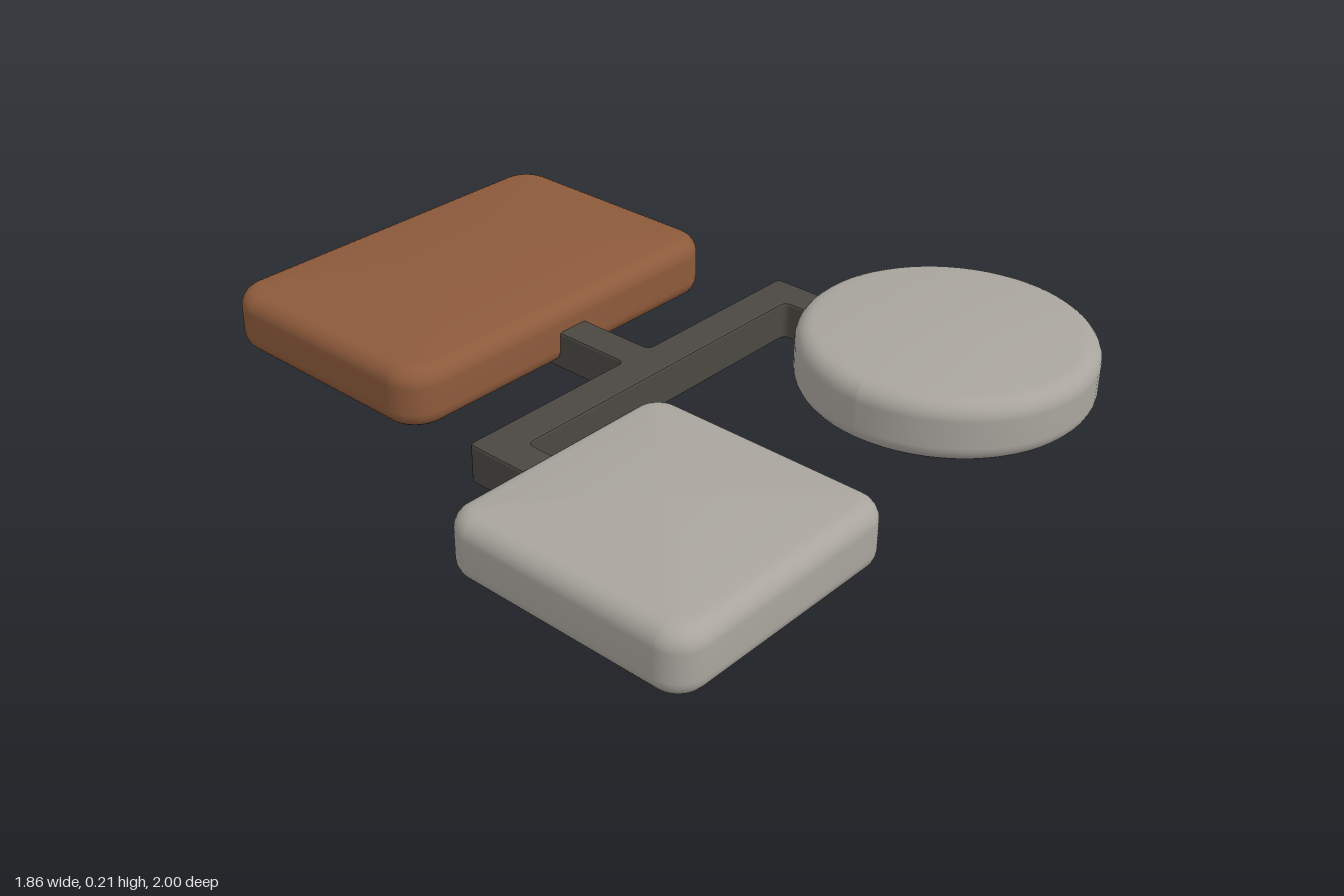
import * as THREE from 'three';

const brown = new THREE.MeshStandardMaterial({ name: 'brown', color: 0x8d5a3b });
const stone = new THREE.MeshStandardMaterial({ name: 'stone grey', color: 0xa9a59e });
const dark = new THREE.MeshStandardMaterial({ name: 'dark grey', color: 0x4b4842 });

// Cushion-like slab: rounded-rectangle rings with soft edges and a domed top.
// A corner radius equal to the half size gives a round slab.
function slab(name, material, [x, z], [hw, hd], corner, bottom, top) {
  const soft = 0.05, dome = 0.02, steps = 16, edge = top - dome;
  const rings = []; // [inset, y, scale]
  for (const s of [0, 0.5, 0.97]) rings.push([soft, bottom, s]);
  for (let i = 0; i <= 6; i++) {
    const a = (i / 6) * Math.PI / 2;
    rings.push([soft * (1 - Math.sin(a)), bottom + soft * (1 - Math.cos(a)), 1]);
  }
  for (let i = 0; i <= 6; i++) {
    const a = (i / 6) * Math.PI / 2;
    rings.push([soft * (1 - Math.cos(a)), edge - soft * (1 - Math.sin(a)), 1]);
  }
  for (const s of [0.95, 0.85, 0.7, 0.5, 0.25, 0]) rings.push([soft, edge + dome * (1 - s * s), s]);

  const positions = [], index = [], n = 4 * (steps + 1);
  for (const [inset, y, s] of rings) {
    for (let q = 0; q < 4; q++) {
      const sx = q === 0 || q === 3 ? 1 : -1, sz = q < 2 ? 1 : -1;
      for (let k = 0; k <= steps; k++) {
        const a = (q + k / steps) * Math.PI / 2, r = corner - inset;
        positions.push(s * (sx * (hw - corner) + r * Math.cos(a)), y,
          s * (sz * (hd - corner) + r * Math.sin(a)));
      }
    }
  }
  for (let i = 0; i < rings.length - 1; i++) {
    for (let j = 0; j < n; j++) {
      const a = i * n + j, b = i * n + (j + 1) % n;
      index.push(a, a + n, b, b, a + n, b + n);
    }
  }
  const geometry = new THREE.BufferGeometry();
  geometry.setAttribute('position', new THREE.Float32BufferAttribute(positions, 3));
  geometry.setIndex(index);
  geometry.computeVertexNormals();
  const mesh = new THREE.Mesh(geometry, material);
  mesh.name = name;
  mesh.position.set(x, 0, z);
  return mesh;
}

// Forked bar joining the three slabs, every corner slightly rounded
function connector() {
  const outline = [ // x, z, corner radius
    [-0.62, 0.31, 0.01], [-0.52, 0.31, 0.01], [-0.52, 0.1, 0.02], [0.48, 0.1, 0.02],
    [0.48, 0.31, 0.01], [0.58, 0.31, 0.01], [0.58, -0.005, 0.015], [0.03, -0.005, 0.02],
    [0.03, -0.28, 0.01], [-0.07, -0.28, 0.01], [-0.07, -0.005, 0.02], [-0.62, -0.005, 0.015],
  ].map(([x, z, r]) => ({ p: new THREE.Vector2(x, -z), r }));
  const shape = new THREE.Shape();
  outline.forEach(({ p, r }, i) => {
    const toward = (o) => o.p.clone().sub(p).setLength(r).add(p);
    const a = toward(outline.at(i - 1)), b = toward(outline[(i + 1) % outline.length]);
    if (i) shape.lineTo(a.x, a.y); else shape.moveTo(a.x, a.y);
    shape.quadraticCurveTo(p.x, p.y, b.x, b.y);
  });
  shape.closePath();
  const bevel = 0.007;
  const geometry = new THREE.ExtrudeGeometry(shape, {
    depth: 0.11 - 2 * bevel, bevelThickness: bevel, bevelSize: bevel,
    bevelOffset: -bevel, bevelSegments: 2, curveSegments: 4,
  });
  geometry.translate(0, 0, bevel).rotateX(-Math.PI / 2);
  const mesh = new THREE.Mesh(geometry, dark);
  mesh.name = 'connectingBar';
  return mesh;
}

export function createModel() {
  const model = new THREE.Group();
  model.name = 'linkedSlabs';
  model.add(
    slab('rectangularSlab', brown, [-0.023, -0.618], [0.575, 0.382], 0.1, 0.01, 0.205),
    slab('squareSlab', stone, [-0.572, 0.598], [0.362, 0.362], 0.08, 0.01, 0.205),
    slab('roundSlab', stone, [0.53, 0.6], [0.4, 0.4], 0.4, 0.016, 0.212),
    connector(),
  );
  return model;
}
